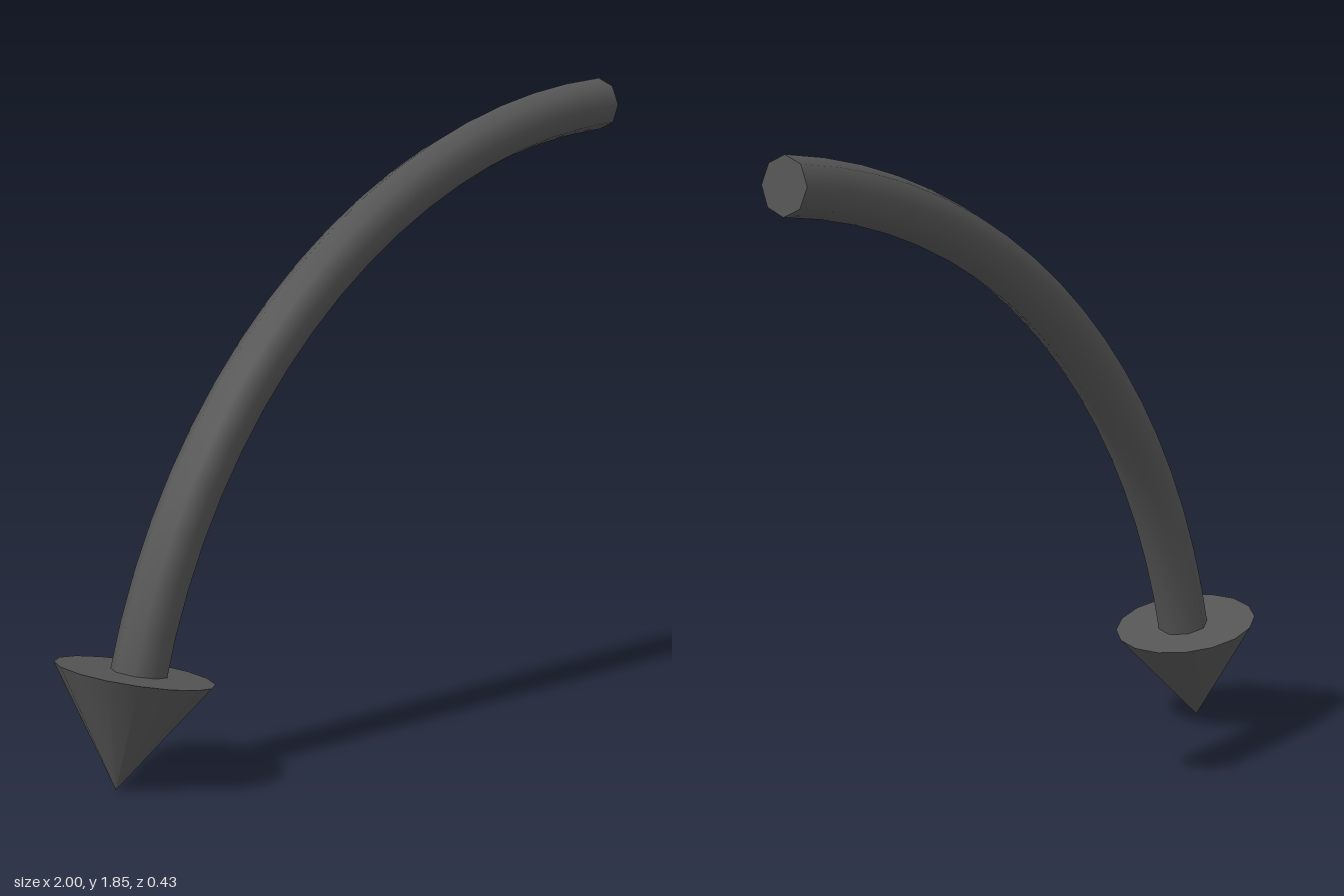
import * as THREE from 'three';

const ARC_RADIUS = 1.95;
const SHAFT_RADIUS = 0.0775;
const START = THREE.MathUtils.degToRad(93.5);
const SWEEP = THREE.MathUtils.degToRad(72.6);

export function createModel() {
  const group = new THREE.Group();
  group.name = 'curvedArrow';
  const material = new THREE.MeshStandardMaterial({ color: 0x555555 });

  const add = (parent, geometry, name) => {
    const mesh = new THREE.Mesh(geometry, material);
    mesh.name = name;
    parent.add(mesh);
    return mesh;
  };

  // Shaft: eight-sided rod bent along a circular arc
  const shaft = new THREE.Group();
  shaft.name = 'shaft';
  shaft.position.set(1.11, -0.178, 0);
  shaft.rotation.z = START;
  group.add(shaft);
  add(shaft, new THREE.TorusGeometry(ARC_RADIUS, SHAFT_RADIUS, 8, 18, SWEEP), 'shaftRod');

  // Flat cap closing the tail end
  const cap = add(shaft, new THREE.CircleGeometry(SHAFT_RADIUS, 8), 'tailCap');
  cap.position.x = ARC_RADIUS;
  cap.rotation.x = Math.PI / 2;

  // Arrowhead: cone pointing down along the end of the arc
  const base = new THREE.Vector3(-0.79, 0.3125, 0);
  const tip = new THREE.Vector3(-0.86, 0, 0);
  const axis = tip.clone().sub(base);
  const cone = new THREE.ConeGeometry(0.219, axis.length(), 16, 1, false, Math.PI / 16);
  const head = add(group, cone, 'arrowhead');
  head.position.copy(base).add(tip).multiplyScalar(0.5);
  head.rotation.z = Math.atan2(-axis.x, axis.y);

  return group;
}
